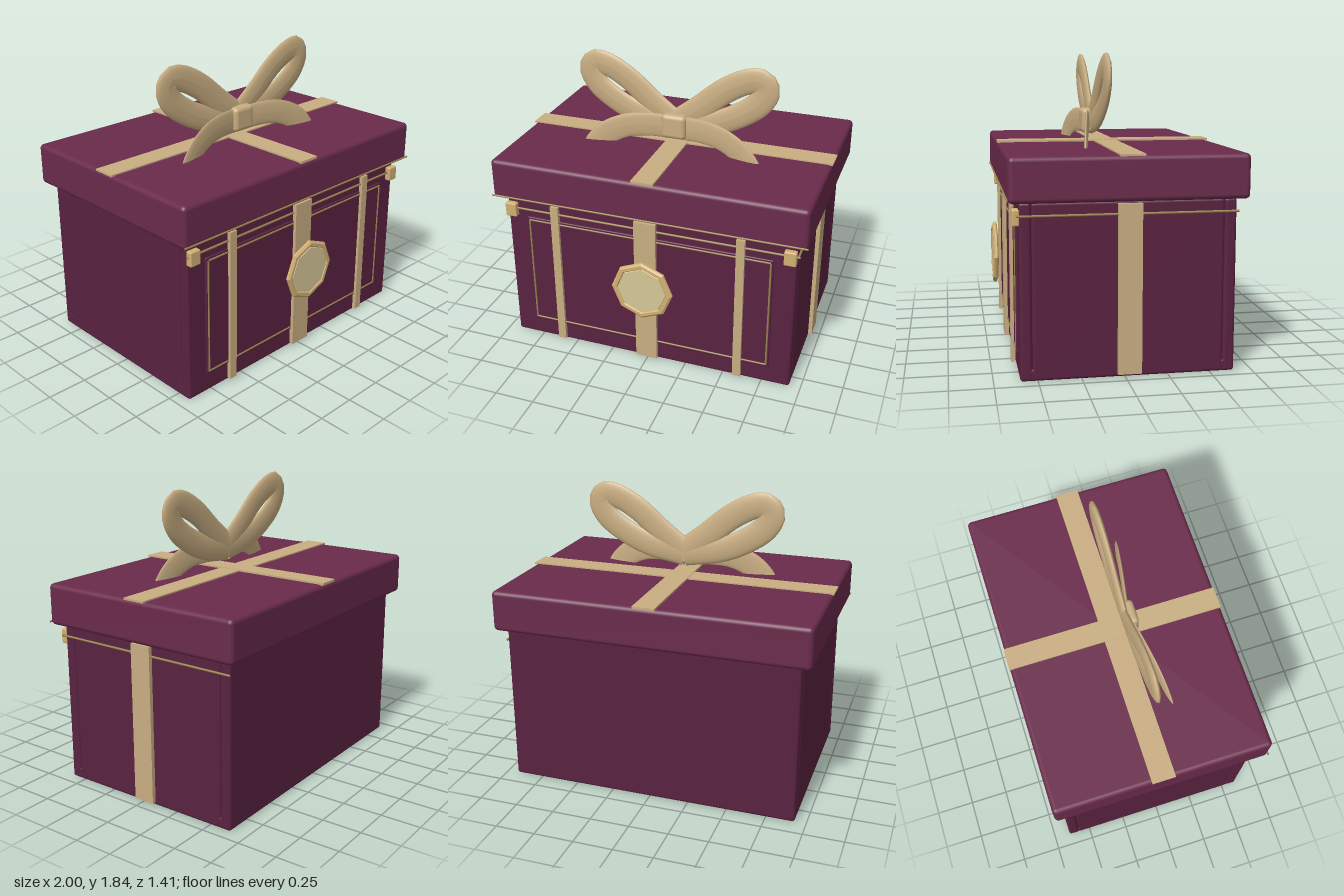
import * as THREE from 'three';
import { RoundedBoxGeometry } from 'three/addons/geometries/RoundedBoxGeometry.js';

const mat = (color, extra = {}) => {
  const m = new THREE.MeshStandardMaterial(extra);
  m.color.set(color);
  return m;
};

export function createModel() {
  const model = new THREE.Group();
  model.name = 'giftBox';
  const body = mat(0x5a2240), lidMat = mat(0x6a2b4b), ribbon = mat(0xc9ae82);
  const gold = mat(0xd3b074), trim = mat(0x9a8450);
  const goldFlat = mat(0xd3b074, { flatShading: true });
  const pale = mat(0xd6c796, { flatShading: true });

  const add = (name, geometry, material, parent = model) => {
    const mesh = new THREE.Mesh(geometry, material);
    mesh.name = name;
    parent.add(mesh);
    return mesh;
  };
  // Box given by its limits on each axis, rounded when r > 0
  const box = (name, material, [x0, x1], [y0, y1], [z0, z1], r = 0, parent = model) => {
    const s = [x1 - x0, y1 - y0, z1 - z0];
    const geometry = r ? new RoundedBoxGeometry(...s, 4, r) : new THREE.BoxGeometry(...s);
    const mesh = add(name, geometry, material, parent);
    mesh.position.set((x0 + x1) / 2, (y0 + y1) / 2, (z0 + z1) / 2);
    return mesh;
  };
  // Straight round rod between two points
  const rod = (name, a, b, r, parent = model) => add(name, new THREE.TubeGeometry(
    new THREE.LineCurve3(new THREE.Vector3(...a), new THREE.Vector3(...b)), 1, r, 8), trim, parent);

  // Box: base, front and back walls, and side block with grooves between them
  box('base', body, [-0.928, 0.928], [0, 0.07], [-0.643, 0.598], 0.015);
  box('frontWall', body, [-0.93, 0.93], [0, 1.02], [0.53, 0.6], 0.018);
  box('backWall', body, [-0.93, 0.93], [0, 1.02], [-0.645, -0.575], 0.018);
  box('sideWalls', body, [-0.93, 0.93], [0, 1.02], [-0.575, 0.53], 0.018);

  // Lid and its crossed ribbons
  box('lid', lidMat, [-0.995, 0.995], [1.02, 1.278], [-0.705, 0.66], 0.028);
  box('lidRibbonAcross', ribbon, [-1, 1], [1.274, 1.286], [-0.1, 0.045]);
  box('lidRibbonLengthwise', ribbon, [-0.07, 0.07], [1.274, 1.289], [-0.71, 0.66]);

  // Framed front panel
  box('frontPanel', body, [-0.795, 0.795], [0.123, 0.893], [0.59, 0.611], 0.008);
  const frame = new THREE.Group();
  frame.name = 'panelFrame';
  model.add(frame);
  for (const y of [0.142, 0.873]) rod('frameRail', [-0.779, y, 0.611], [0.779, y, 0.611], 0.006, frame);
  for (const x of [-0.779, 0.779]) rod('frameStile', [x, 0.142, 0.611], [x, 0.873, 0.611], 0.006, frame);

  // Ribbons on the walls
  box('frontRibbon', ribbon, [-0.07, 0.07], [0.02, 1.0], [0.605, 0.632]);
  box('sideRibbon', ribbon, [0.925, 0.955], [0.02, 1.005], [-0.093, 0.045]);
  for (const s of [-1, 1]) {
    box('frontStrap', ribbon, [s * 0.597 - 0.026, s * 0.597 + 0.026], [0.02, 1.0], [0.605, 0.63]);
    box('cornerClasp', gold, [s * 0.893 - 0.037, s * 0.893 + 0.037], [0.89, 0.982], [0.595, 0.637], 0.008);
  }

  // Cord lines
  rod('frontCord', [-0.94, 0.945, 0.612], [0.95, 0.945, 0.612], 0.007);
  rod('sideCord', [0.937, 0.945, 0.615], [0.937, 0.945, -0.655], 0.007);
  rod('lidCord', [-1, 1.038, 0.662], [1, 1.038, 0.662], 0.006);

  // Eight-sided medallion
  const medallion = new THREE.Group();
  medallion.name = 'medallion';
  medallion.position.set(0, 0.56, 0.67);
  medallion.rotation.x = Math.PI / 2;
  model.add(medallion);
  const rim = [[0, 0], [0.185, 0], [0.198, 0.008], [0.198, 0.02], [0.185, 0.03], [0.165, 0.03], [0.158, 0.022], [0, 0.022]];
  add('medallionRim', new THREE.LatheGeometry(rim.map(p => new THREE.Vector2(...p)), 8), goldFlat, medallion);
  add('medallionFace', new THREE.CylinderGeometry(0.155, 0.16, 0.008, 8), pale, medallion).position.y = 0.023;

  // Bow: tubes along planar curves, flattened in depth and leaned forward
  const bow = new THREE.Group();
  bow.name = 'bow';
  model.add(bow);
  const bowPart = (name, points, radius, side, flat, depth) => {
    const curve = new THREE.CatmullRomCurve3(points.map(([x, y]) => new THREE.Vector3(side * x, y, 0)));
    const geometry = new THREE.TubeGeometry(curve, 48, radius, 16);
    const p = geometry.attributes.position;
    for (let i = 0; i < p.count; i++) p.setZ(i, p.getZ(i) * flat + depth(Math.abs(p.getX(i))));
    geometry.computeVertexNormals();
    add(name, geometry, mat(0xc9ae82, { side: THREE.DoubleSide }), bow);
  };
  const loop = [[0, 1.42], [0.15, 1.535], [0.32, 1.675], [0.46, 1.748], [0.54, 1.755], [0.572, 1.705],
    [0.535, 1.62], [0.43, 1.535], [0.25, 1.45], [0, 1.4]];
  const tail = [[0, 1.395], [0.16, 1.405], [0.3, 1.39], [0.42, 1.335], [0.5, 1.25], [0.53, 1.17]];
  for (const s of [-1, 1]) {
    bowPart('bowLoop', loop, 0.08, s, 0.28, x => 0.05 - 0.015 * x);
    bowPart('bowTail', tail, 0.078, s, 0.15, x => 0.07 + 0.18 * x);
  }
  box('bowKnot', ribbon, [-0.08, 0.08], [1.33, 1.488], [0.035, 0.12], 0.028, bow);

  return model;
}
